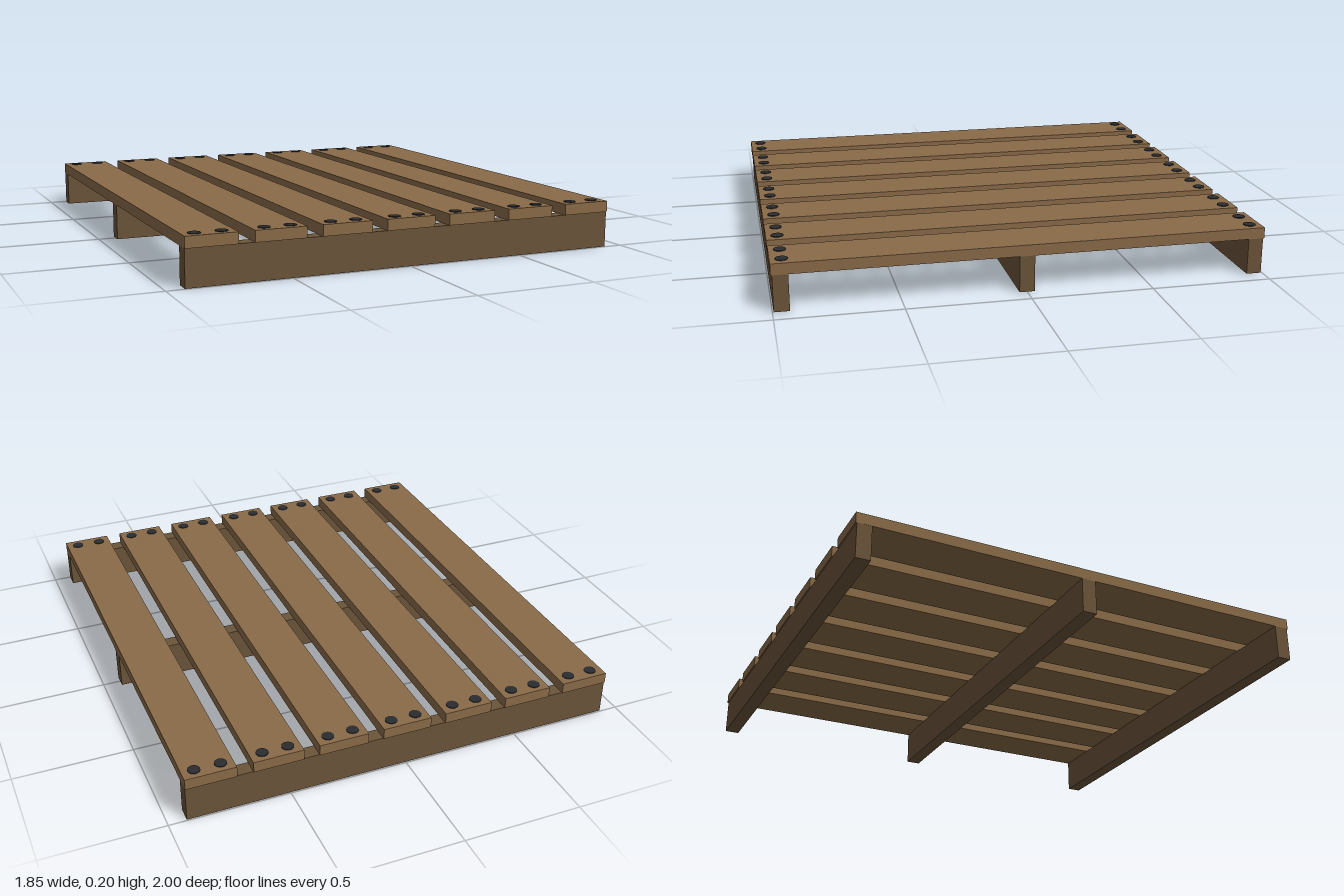
import * as THREE from 'three';

export function createModel() {
  const group = new THREE.Group();
  const plankWood = new THREE.MeshStandardMaterial({ color: 0x8a6b48 });
  const beamWood = new THREE.MeshStandardMaterial({ color: 0x6b543a });
  const iron = new THREE.MeshStandardMaterial({ color: 0x2a2c30 });

  const add = (name, geometry, material, x, y, z) => {
    const mesh = new THREE.Mesh(geometry, material);
    mesh.name = name;
    mesh.position.set(x, y, z);
    group.add(mesh);
  };

  // Three cross beams under the deck
  const beam = new THREE.BoxGeometry(1.85, 0.15, 0.062);
  [['backBeam', -0.964], ['middleBeam', 0], ['frontBeam', 0.964]].forEach(([name, z]) =>
    add(name, beam, beamWood, 0, 0.075, z));

  // Seven deck planks, each with a pair of nail heads at both ends
  const plank = new THREE.BoxGeometry(0.208, 0.046, 2);
  const nail = new THREE.CylinderGeometry(0.025, 0.025, 0.012, 16);
  for (let i = -3; i <= 3; i++) {
    const x = i * 0.2737;
    add('deckPlank', plank, plankWood, x, 0.173, 0);
    for (const sx of [-1, 1]) {
      for (const sz of [-1, 1]) add('nailHead', nail, iron, x + sx * 0.053, 0.193, sz * 0.954);
    }
  }
  return group;
}
